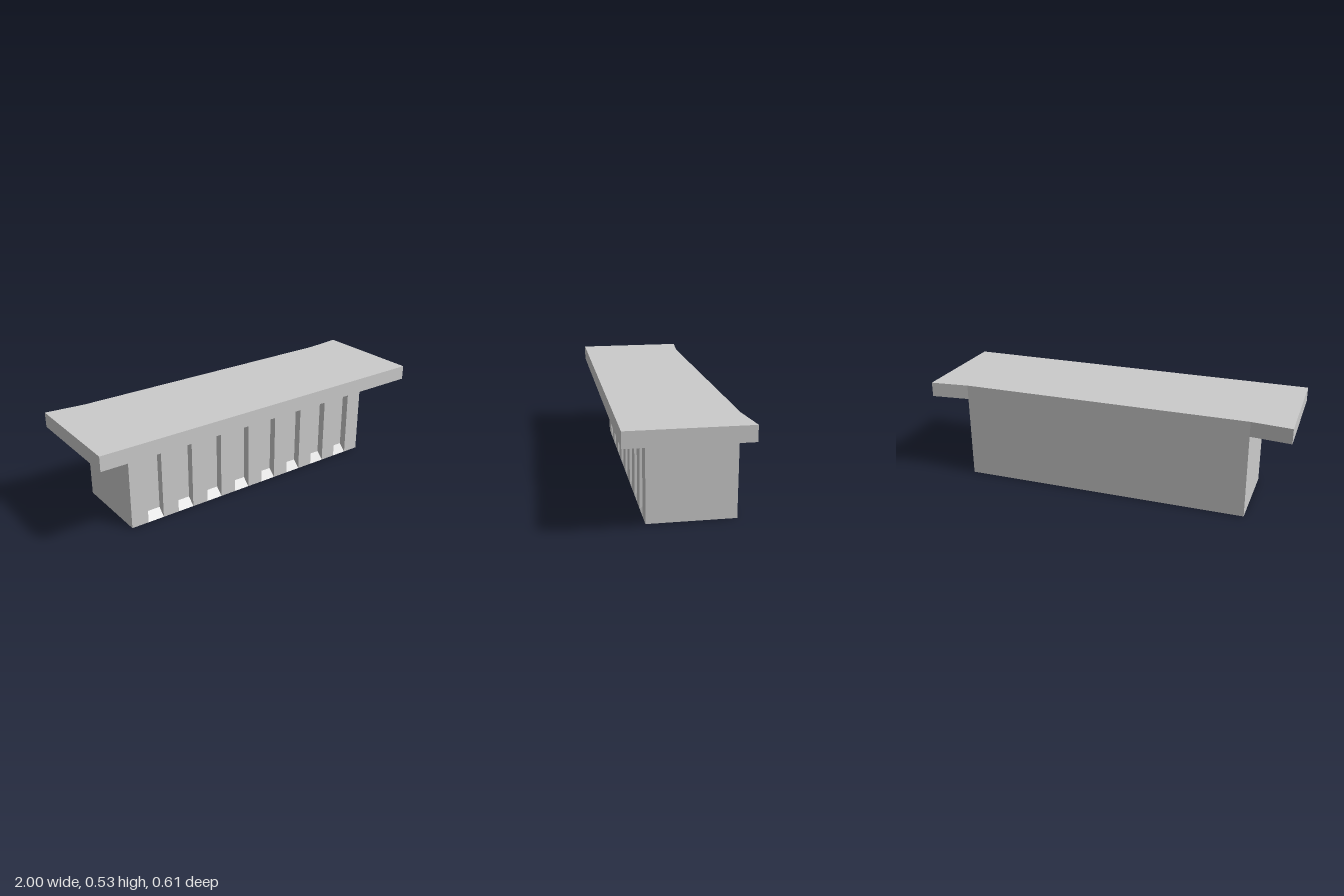
import * as THREE from 'three';

const W = 0.788;              // half width of the base
const H = 0.453, TOP = 0.533; // underside and top of the slab
const BACK = -0.283, FRONT = 0.169;
const GROOVES = 8, STEP = 0.1847, GROOVE_W = 0.092, DEPTH = 0.041;

const material = new THREE.MeshStandardMaterial({ color: 0xcccccc, flatShading: true });

// Flat polygons, corners counter-clockwise seen from outside
function polygonGeometry(polygons) {
  const pos = [];
  for (const p of polygons) {
    for (let i = 1; i < p.length - 1; i++) pos.push(...p[0], ...p[i], ...p[i + 1]);
  }
  const g = new THREE.BufferGeometry();
  g.setAttribute('position', new THREE.Float32BufferAttribute(pos, 3));
  g.computeVertexNormals();
  return g;
}

// Slab whose back edge flares out towards both ends
function slabGeometry() {
  const outline = [[-1, -0.306], [1, -0.306], [1, 0.306], [W, 0.283], [-W, 0.283], [-1, 0.306]];
  // shape y becomes -z
  const shape = new THREE.Shape(outline.map(([x, y]) => new THREE.Vector2(x, y)));
  const g = new THREE.ExtrudeGeometry(shape, { depth: TOP - H, bevelEnabled: false });
  return g.rotateX(-Math.PI / 2).translate(0, H, 0);
}

// Plain faces of the base: ends, back, bottom, top
function baseGeometry() {
  return polygonGeometry([
    [[W, 0, FRONT], [W, 0, BACK], [W, H, BACK], [W, H, FRONT]],
    [[-W, 0, BACK], [-W, 0, FRONT], [-W, H, FRONT], [-W, H, BACK]],
    [[W, 0, BACK], [-W, 0, BACK], [-W, H, BACK], [W, H, BACK]],
    [[-W, 0, BACK], [W, 0, BACK], [W, 0, FRONT], [-W, 0, FRONT]],
    [[-W, H, FRONT], [W, H, FRONT], [W, H, BACK], [-W, H, BACK]],
  ]);
}

// Flat strip between two grooves
function ribGeometry(a, b) {
  return polygonGeometry([[[a, 0, FRONT], [b, 0, FRONT], [b, H, FRONT], [a, H, FRONT]]]);
}

// Recess with sloping sill and head; its side walls face inward
function grooveGeometry(a, b) {
  const profile = [[0, FRONT], [DEPTH, FRONT - DEPTH], [H - DEPTH, FRONT - DEPTH], [H, FRONT]];
  const at = (x) => profile.map(([y, z]) => [x, y, z]);
  const l = at(a), r = at(b);
  const polygons = [l, r.slice().reverse()];
  for (let i = 0; i < 3; i++) polygons.push([l[i], r[i], r[i + 1], l[i + 1]]);
  return polygonGeometry(polygons);
}

export function createModel() {
  const group = new THREE.Group();
  const add = (name, geometry, parent = group) => {
    const mesh = new THREE.Mesh(geometry, material);
    mesh.name = name;
    parent.add(mesh);
  };

  add('topSlab', slabGeometry());
  add('base', baseGeometry());

  // Fluted front: ribs alternating with grooves
  const front = new THREE.Group();
  front.name = 'flutedFront';
  group.add(front);
  let ribStart = -W;
  for (let i = 0; i < GROOVES; i++) {
    const x = (i - (GROOVES - 1) / 2) * STEP;
    const a = x - GROOVE_W / 2, b = x + GROOVE_W / 2;
    add('rib', ribGeometry(ribStart, a), front);
    add('groove', grooveGeometry(a, b), front);
    ribStart = b;
  }
  add('rib', ribGeometry(ribStart, W), front);

  return group;
}
